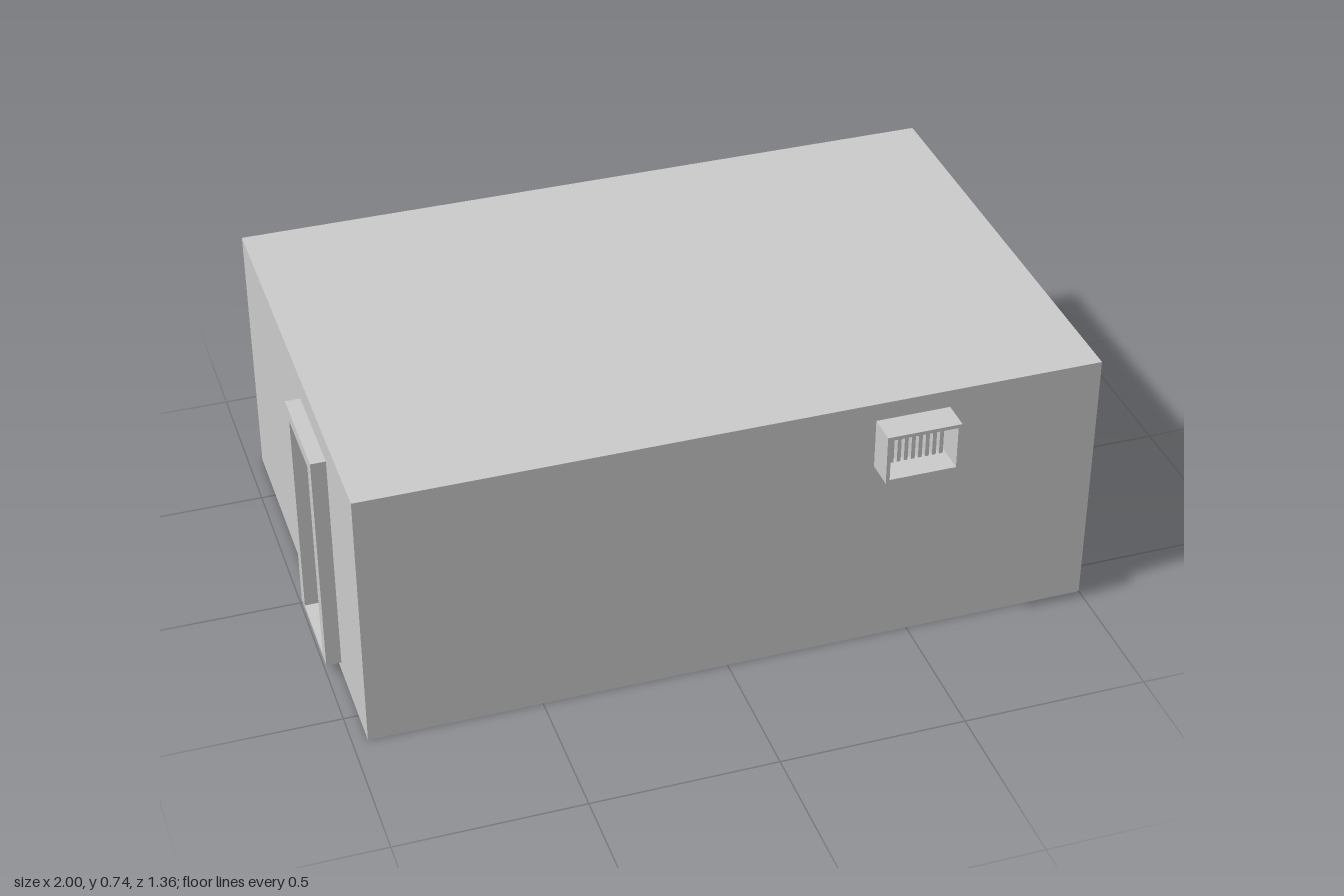
import * as THREE from 'three';

const mat = new THREE.MeshStandardMaterial({ color: 0xcccccc, flatShading: true, side: THREE.DoubleSide });

// Box given by its min and max corners
function box(parent, name, [x0, y0, z0], [x1, y1, z1]) {
  const mesh = new THREE.Mesh(new THREE.BoxGeometry(x1 - x0, y1 - y0, z1 - z0), mat);
  mesh.name = name;
  mesh.position.set((x0 + x1) / 2, (y0 + y1) / 2, (z0 + z1) / 2);
  parent.add(mesh);
  return mesh;
}

// Rectangular slab with a rectangular opening; rectangles are [u0, v0, u1, v1]
function slab(parent, name, outer, hole, depth) {
  const corners = ([a, b, c, d]) => [[a, b], [c, b], [c, d], [a, d]].map(p => new THREE.Vector2(...p));
  const shape = new THREE.Shape(corners(outer));
  shape.holes.push(new THREE.Path(corners(hole).reverse()));
  const mesh = new THREE.Mesh(new THREE.ExtrudeGeometry(shape, { depth, bevelEnabled: false }), mat);
  mesh.name = name;
  parent.add(mesh);
  return mesh;
}

export function createModel() {
  const model = new THREE.Group();
  model.name = 'room';
  const X0 = -0.96, X1 = 1, H = 0.74, Z0 = -0.68, Z1 = 0.6, T = 0.03;
  const doorway = [0.065, 0.04, 0.275, 0.635];
  const ventHole = [0.395, 0.56, 0.575, 0.68];

  // Hollow shell
  box(model, 'floor', [X0, 0, Z0], [X1, T, Z1]);
  box(model, 'roof', [X0, H - T, Z0], [X1, H, Z1]);
  box(model, 'backWall', [X0, T, Z0], [X1, H - T, Z0 + T]);
  box(model, 'leftWall', [X1 - T, T, Z0 + T], [X1, H - T, Z1 - T]);
  slab(model, 'frontWall', [X0, T, X1, H - T], ventHole, T).position.z = Z1 - T;
  const doorWall = slab(model, 'doorWall', [Z0 + T, T, Z1 - T, H - T], doorway, T);
  doorWall.rotation.y = -Math.PI / 2;
  doorWall.position.x = X0 + T;

  // Projecting door frame with threshold
  const frame = slab(model, 'doorFrame', [0.025, 0.03, 0.315, 0.67], doorway, 0.04);
  frame.rotation.y = -Math.PI / 2;
  frame.position.x = X0;

  // Panelled door standing open into the room
  const door = new THREE.Group();
  door.name = 'door';
  model.add(door);
  const dx0 = -0.92, dx1 = -0.71, dz0 = 0.285, dz1 = 0.32, dy0 = 0.06, dy1 = 0.635;
  box(door, 'doorPanel', [dx0 + 0.01, dy0 + 0.01, dz0 + 0.01], [dx1 - 0.01, dy1 - 0.01, dz1 - 0.01]);
  for (const x of [dx0, dx1 - 0.03]) box(door, 'doorStile', [x, dy0, dz0], [x + 0.03, dy1, dz1]);
  for (const y of [dy0, 0.23, 0.41, dy1 - 0.04])
    box(door, 'doorRail', [dx0 + 0.03, y, dz0], [dx1 - 0.03, y + 0.04, dz1]);
  for (const y of [0.14, 0.53]) box(door, 'hinge', [dx0 - 0.01, y, dz0 - 0.006], [dx0 + 0.02, y + 0.04, dz0]);
  for (const z of [dz0 - 0.012, dz1 + 0.012]) {
    const knob = new THREE.Mesh(new THREE.SphereGeometry(0.012, 12, 8), mat);
    knob.name = 'doorKnob';
    knob.position.set(dx1 - 0.015, 0.33, z);
    door.add(knob);
  }

  // Vent hood with upright slats set back inside it
  const vent = new THREE.Group();
  vent.name = 'vent';
  model.add(vent);
  slab(vent, 'ventHood', [0.385, 0.55, 0.585, 0.69], ventHole, 0.08).position.z = Z1;
  for (let i = 0; i < 9; i++) {
    const x = 0.403 + i * 0.0192;
    box(vent, 'ventSlat', [x, 0.56, Z1 - 0.01], [x + 0.0105, 0.68, Z1 + 0.012]);
  }
  return model;
}
